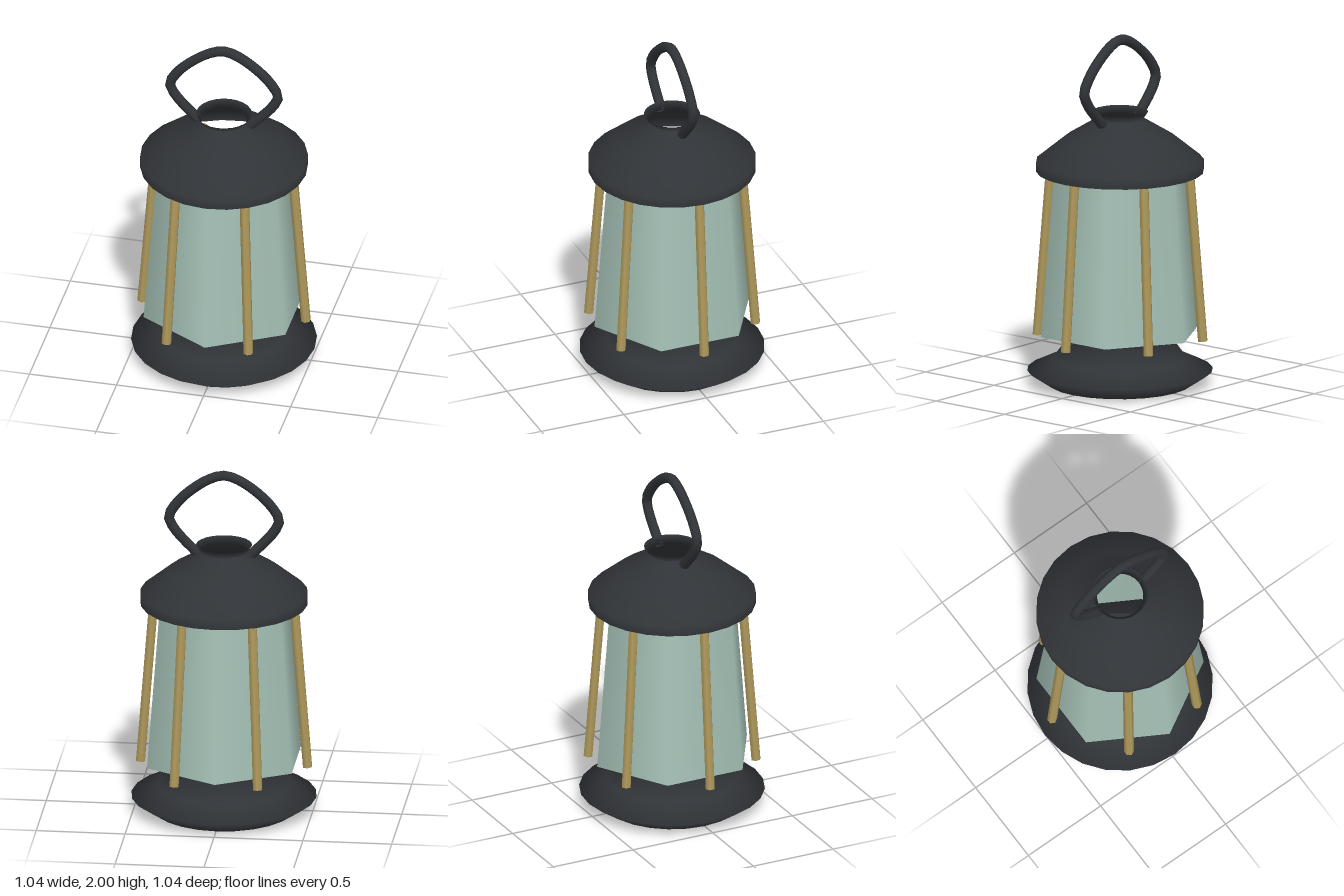
import * as THREE from 'three';

const material = (color, options = {}) => new THREE.MeshStandardMaterial({ color, ...options });

function createModel() {
  const lantern = new THREE.Group();
  lantern.name = 'lantern';

  const iron = material(0x303337, { side: THREE.DoubleSide });
  const brass = material(0xb09a5c);
  const glassMat = material(0xa6c2b7, { side: THREE.DoubleSide });
  const flameMat = material(0xd89c4c);

  const add = (name, geometry, mat, y = 0) => {
    const mesh = new THREE.Mesh(geometry, mat);
    mesh.name = name;
    mesh.position.y = y;
    lantern.add(mesh);
    return mesh;
  };
  const lathe = (profile) =>
    new THREE.LatheGeometry(profile.map(([r, y]) => new THREE.Vector2(r, y)), 24);

  // Hollow turned foot and hood, open at both ends
  add('base', lathe([[0.4, 0], [0.52, 0.08], [0.37, 0.15], [0.29, 0.255], [0.34, 0.3]]), iron);
  add('hood', lathe([[0.47, 1.22], [0.47, 1.28], [0.31, 1.41], [0.13, 1.52], [0.157, 1.56]]), iron);

  // Six-sided tapered glass, open at both ends
  add('glass', new THREE.CylinderGeometry(0.393, 0.47, 0.93, 6, 1, true), glassMat, 0.765);

  // Burner and flame inside the glass
  add('burner', new THREE.CylinderGeometry(0.22, 0.22, 0.16, 24), brass, 0.38);
  const flame = add('flame', new THREE.SphereGeometry(0.052, 16, 12), flameMat, 0.54);
  flame.scale.y = 1.8;

  // Six leaning posts around the glass
  const foot = new THREE.Vector3(0.47, 0.26, 0);
  const head = new THREE.Vector3(0.393, 1.24, 0);
  const lean = head.clone().sub(foot);
  const postGeometry = new THREE.CylinderGeometry(0.028, 0.028, lean.length(), 6);
  const up = new THREE.Vector3(0, 1, 0);
  for (let i = 0; i < 6; i++) {
    const pivot = new THREE.Group();
    pivot.name = `postPivot${i + 1}`;
    pivot.rotation.y = (i * Math.PI) / 3;
    const post = new THREE.Mesh(postGeometry, brass);
    post.name = `post${i + 1}`;
    post.position.copy(foot).add(head).multiplyScalar(0.5);
    post.quaternion.setFromUnitVectors(up, lean.clone().normalize());
    pivot.add(post);
    lantern.add(pivot);
  }

  // Carrying loop, mirrored about the centre
  const half = [[0.15, 1.505], [0.275, 1.64], [0.31, 1.715], [0.26, 1.805], [0.17, 1.89], [0.075, 1.95]];
  const path = [
    ...half.map(([x, y]) => new THREE.Vector3(-x, y, 0)),
    new THREE.Vector3(0, 1.971, 0),
    ...half.map(([x, y]) => new THREE.Vector3(x, y, 0)).reverse(),
  ];
  const curve = new THREE.CatmullRomCurve3(path);
  add('handle', new THREE.TubeGeometry(curve, 32, 0.029, 8), iron);

  return lantern;
}

export { createModel };
